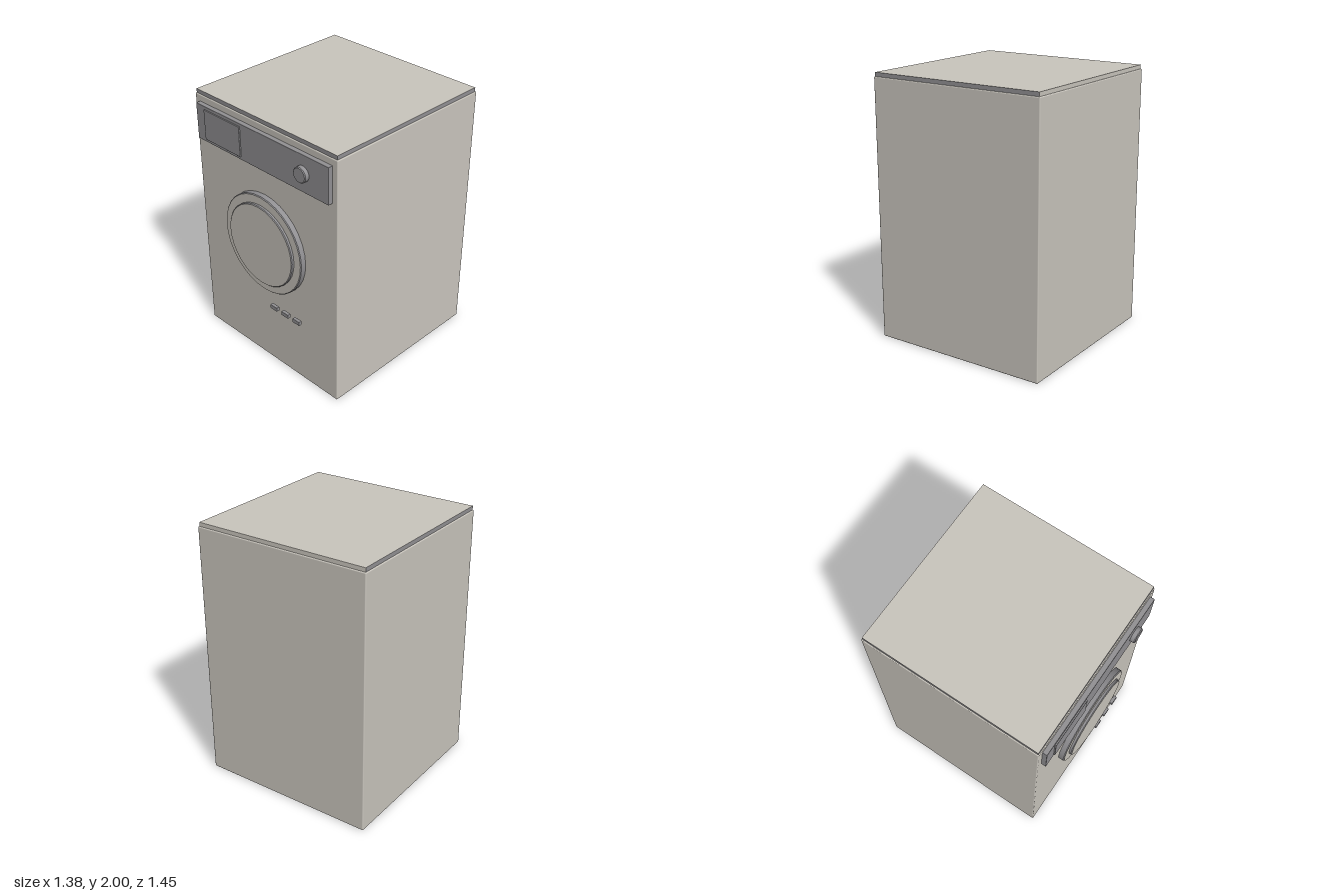
import * as THREE from 'three';
import { RoundedBoxGeometry } from 'three/addons/geometries/RoundedBoxGeometry.js';

const enamel = new THREE.MeshStandardMaterial({ color: 0xcac6be });
enamel.name = 'warm white enamel';
const grey = new THREE.MeshStandardMaterial({ color: 0x929194 });
grey.name = 'grey trim';

export function createModel() {
  const model = new THREE.Group();
  model.name = 'washingMachine';

  const add = (name, geometry, material, x, y, z) => {
    const mesh = new THREE.Mesh(geometry, material);
    mesh.name = name;
    mesh.position.set(x, y, z);
    model.add(mesh);
    return mesh;
  };

  // Softly bevelled box given by its limits on each axis
  const box = (name, material, [x0, x1], [y0, y1], [z0, z1], radius) =>
    add(name, new RoundedBoxGeometry(x1 - x0, y1 - y0, z1 - z0, 2, radius), material,
      (x0 + x1) / 2, (y0 + y1) / 2, (z0 + z1) / 2);

  // Disc facing the front, with separate materials for rim and face
  const disc = (name, rim, face, radius, x, y, z0, z1) => {
    const bevel = 0.006;
    const straight = new THREE.CylinderGeometry(radius, radius, z1 - z0 - bevel, 32);
    const edge = new THREE.CylinderGeometry(radius - bevel, radius, bevel, 32);
    straight.rotateX(Math.PI / 2);
    edge.rotateX(Math.PI / 2);
    add(name, straight, [rim, face, face], x, y, (z0 + z1 - bevel) / 2);
    add(name + 'Edge', edge, [rim, face, face], x, y, z1 - bevel / 2);
  };

  // Cabinet and top cover
  box('cabinet', enamel, [-0.69, 0.69], [0, 1.97], [-0.725, 0.655], 0.008);
  add('topCover', new THREE.BoxGeometry(1.364, 0.032, 1.364),
    [grey, grey, enamel, enamel, grey, enamel], 0, 1.984, -0.034);

  // Control panel with detergent drawer and dial
  box('controlPanel', grey, [-0.645, 0.645], [1.645, 1.92], [0.645, 0.69], 0.004);
  box('detergentDrawer', grey, [-0.555, -0.187], [1.67, 1.897], [0.68, 0.7], 0.003);
  disc('dial', grey, grey, 0.057, 0.415, 1.785, 0.685, 0.725);

  // Round door: outer ring and raised centre
  disc('doorRing', grey, enamel, 0.39, 0, 1.045, 0.65, 0.7);
  disc('doorCentre', grey, enamel, 0.322, 0, 1.045, 0.69, 0.722);

  // Row of three small buttons
  for (let i = 0; i < 3; i++) {
    const x = 0.115 + i * 0.115;
    box('button', grey, [x - 0.034, x + 0.034], [0.54, 0.572], [0.694, 0.72], 0.003);
  }

  return model;
}
